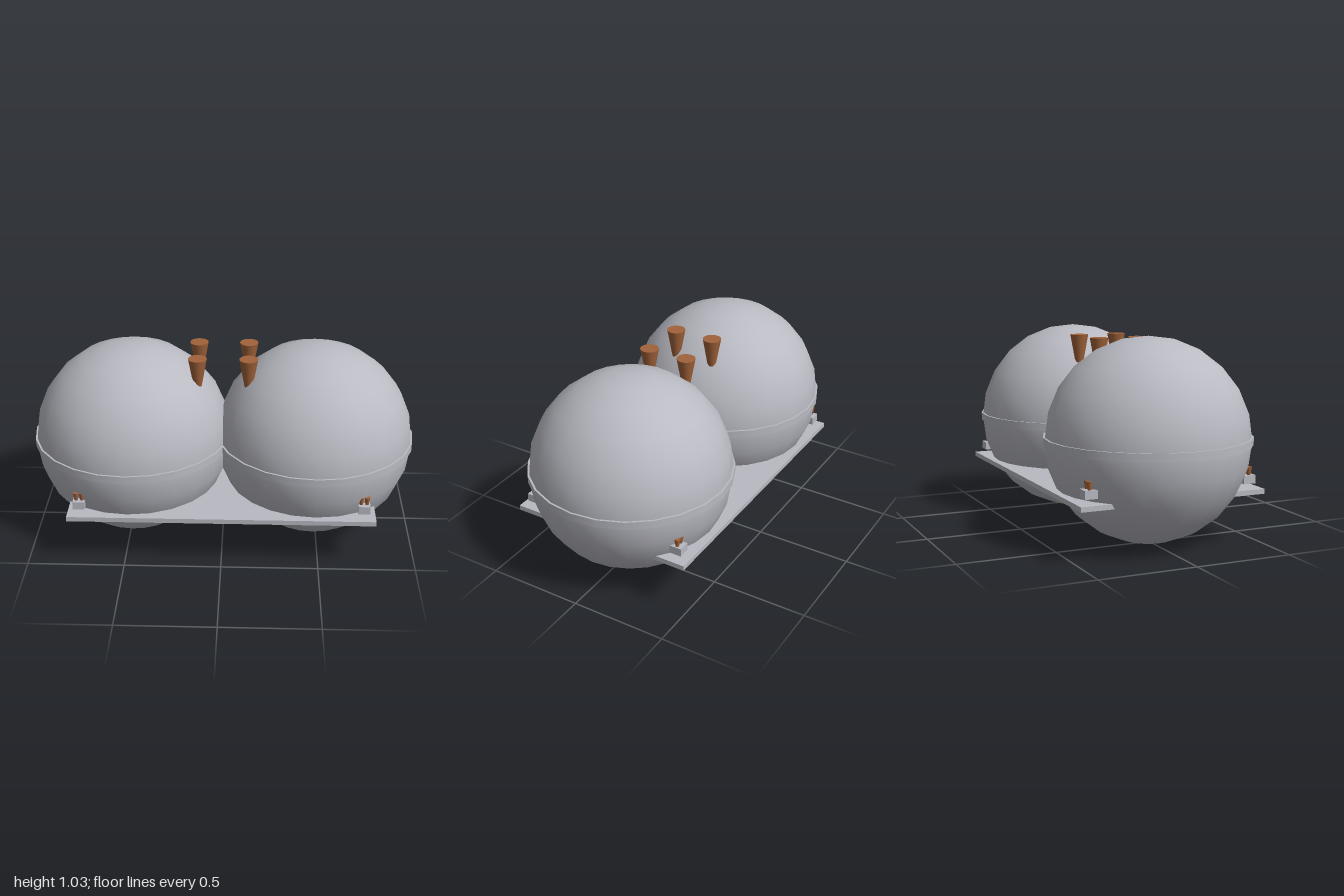
import * as THREE from 'three';

export function createModel() {
  const model = new THREE.Group();
  const grey = new THREE.MeshStandardMaterial({ color: 0xb9bac2 });
  grey.name = 'pale grey';
  const brown = new THREE.MeshStandardMaterial({ color: 0xa0623a });
  brown.name = 'copper brown';

  const add = (name, geometry, material, x, y, z) => {
    const mesh = new THREE.Mesh(geometry, material);
    mesh.name = name;
    mesh.position.set(x, y, z);
    model.add(mesh);
  };

  const tank = new THREE.SphereGeometry(0.514, 24, 12);
  const band = new THREE.CylinderGeometry(0.521, 0.521, 0.04, 24);
  const nozzle = new THREE.CylinderGeometry(0.048, 0.012, 0.2, 24);
  const block = new THREE.BoxGeometry(0.06, 0.042, 0.064);
  const thruster = new THREE.CylinderGeometry(0.015, 0.008, 0.045, 16);

  // Flat plate passing through both tanks
  add('basePlate', new THREE.BoxGeometry(1.57, 0.025, 0.98), grey, 0, 0.272, 0);

  for (const sx of [-1, 1]) {
    // Spherical tank with its equator band
    add('tank', tank, grey, sx * 0.479, 0.517, 0);
    add('equatorBand', band, grey, sx * 0.479, 0.52, 0);

    for (const sz of [-1, 1]) {
      // Large flared nozzle on top
      add('topNozzle', nozzle, brown, sx * 0.13, 0.9, sz * 0.108);
      // Corner block carrying a pair of small nozzles
      add('cornerBlock', block, grey, sx * 0.724, 0.33, sz * 0.424);
      for (const x of [0.738, 0.708]) {
        add('cornerNozzle', thruster, brown, sx * x, 0.369, sz * 0.427);
      }
    }
  }
  return model;
}
